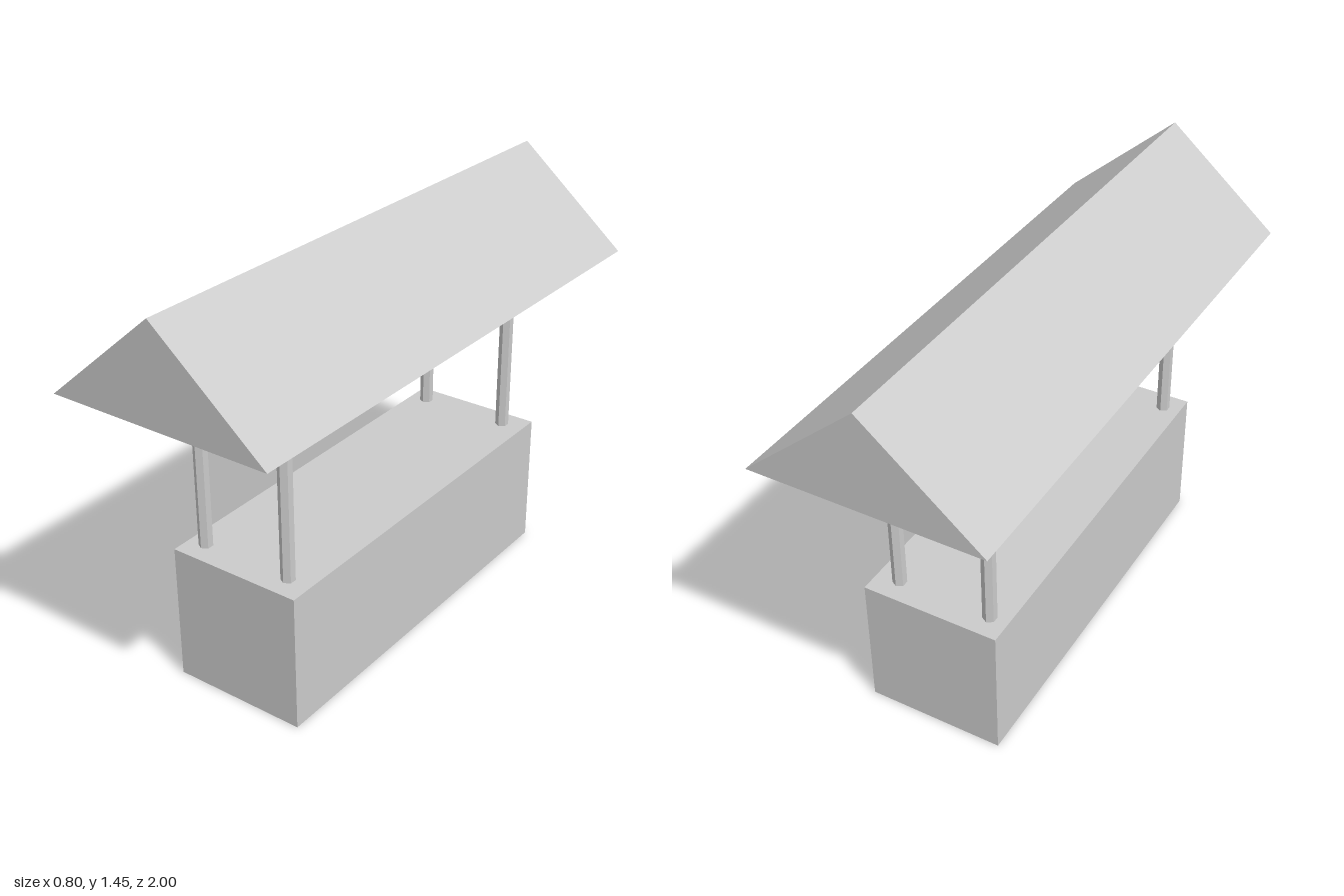
import * as THREE from 'three';

export function createModel() {
  const group = new THREE.Group();
  const material = new THREE.MeshStandardMaterial({ color: 0xcccccc, flatShading: true });

  const add = (name, geometry, x, y, z) => {
    const mesh = new THREE.Mesh(geometry, material);
    mesh.name = name;
    mesh.position.set(x, y, z);
    group.add(mesh);
  };

  const baseTop = 0.487, eaves = 1.112, ridge = 1.452;

  // Solid counter block
  add('counter', new THREE.BoxGeometry(0.486, baseTop, 1.43), 0, baseTop / 2, 0);

  // Four six-sided posts, set slightly off centre across the width
  const postHeight = eaves - baseTop;
  const postGeometry = new THREE.CylinderGeometry(0.024, 0.024, postHeight, 6);
  for (const x of [-0.178, 0.159]) {
    for (const z of [-0.637, 0.637]) {
      add('post', postGeometry, x, baseTop + postHeight / 2, z);
    }
  }

  // Gabled roof: a triangular prism along z
  const gable = new THREE.Shape([
    new THREE.Vector2(-0.4, 0),
    new THREE.Vector2(0.4, 0),
    new THREE.Vector2(0, ridge - eaves),
  ]);
  add('roof', new THREE.ExtrudeGeometry(gable, { depth: 2, bevelEnabled: false }), 0, eaves, -1);

  return group;
}
